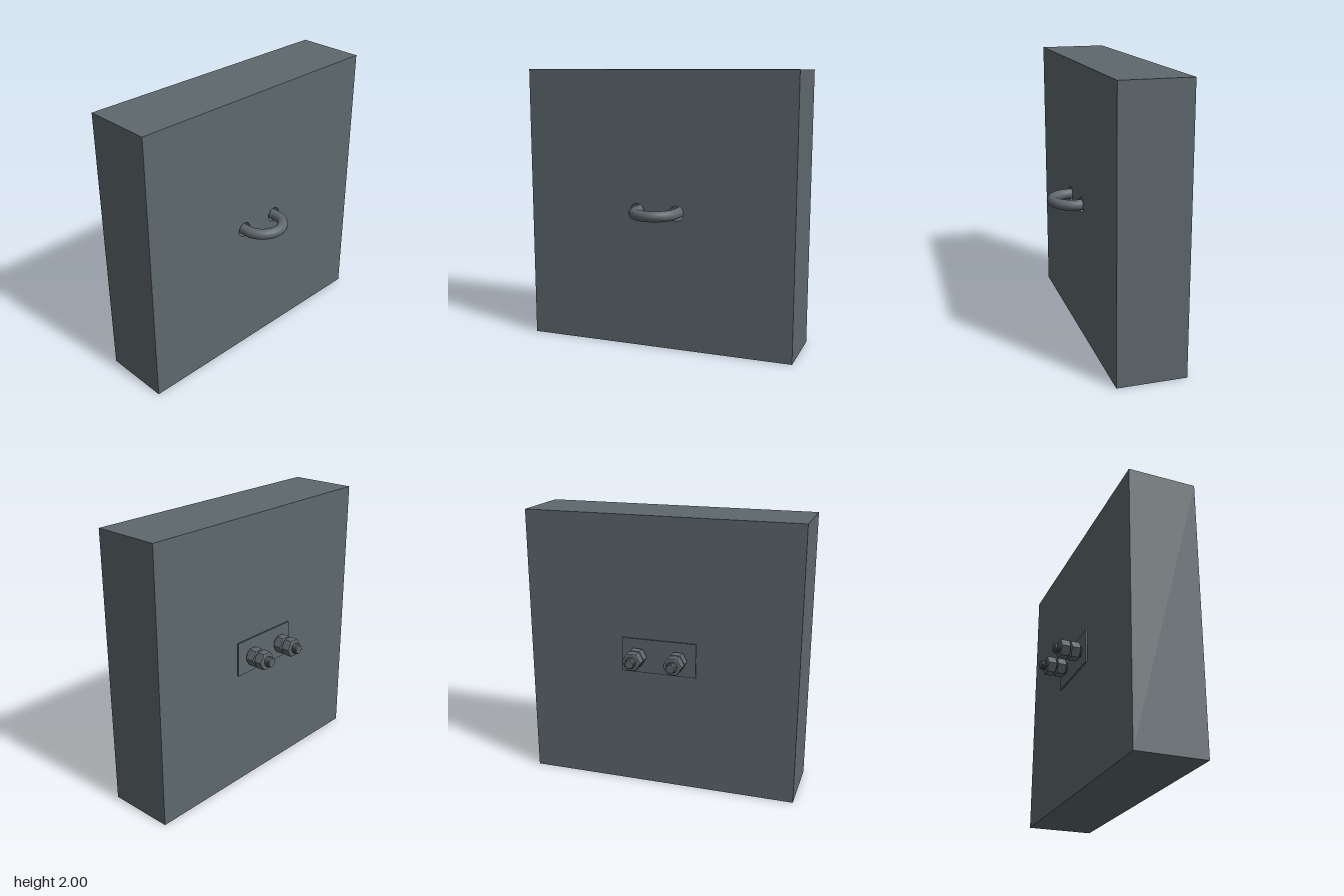
import * as THREE from 'three';
import { toCreasedNormals } from 'three/addons/utils/BufferGeometryUtils.js';

const STEEL = new THREE.MeshStandardMaterial({ color: 0x5e686c });
const CY = 1.0;        // height of the bolt axis
const LEG_X = 0.15;    // offset of each leg
const ROD_R = 0.038;
const BEND_Z = 0.277;  // where the legs meet the bend
const THREAD_Z = -0.2; // where the thread starts
const END_Z = -0.467;

function add(parent, name, geometry, x = 0, y = 0, z = 0) {
  const mesh = new THREE.Mesh(geometry, STEEL);
  mesh.name = name;
  mesh.position.set(x, y, z);
  parent.add(mesh);
  return mesh;
}

// Rectangular slab with a round hole for each leg
function drilledPanel(w, h, depth, holeR) {
  const shape = new THREE.Shape();
  shape.moveTo(-w / 2, -h / 2);
  shape.lineTo(w / 2, -h / 2);
  shape.lineTo(w / 2, h / 2);
  shape.lineTo(-w / 2, h / 2);
  shape.closePath();
  for (const s of [-1, 1]) {
    const hole = new THREE.Path();
    hole.absarc(s * LEG_X, 0, holeR, 0, Math.PI * 2, true);
    shape.holes.push(hole);
  }
  const g = new THREE.ExtrudeGeometry(shape, { depth, bevelEnabled: false, curveSegments: 24 });
  return toCreasedNormals(g, 0.6);
}

// Threaded rod pointing to -z: ridged profile with a chamfered tip
function threadGeometry(length) {
  const pitch = 0.0125, root = 0.032, tip = 0.012;
  const pts = [new THREE.Vector2(0, 0), new THREE.Vector2(root, 0)];
  const turns = Math.floor((length - tip) / pitch);
  for (let i = 0; i < turns; i++) {
    pts.push(new THREE.Vector2(ROD_R, (i + 0.4) * pitch));
    pts.push(new THREE.Vector2(ROD_R, (i + 0.6) * pitch));
    pts.push(new THREE.Vector2(root, (i + 1) * pitch));
  }
  pts.push(new THREE.Vector2(0.034, length - 0.007));
  pts.push(new THREE.Vector2(0.029, length), new THREE.Vector2(0, length));
  return toCreasedNormals(new THREE.LatheGeometry(pts, 24).rotateX(-Math.PI / 2), 0.5);
}

// Hex nut: a lathe whose outer rings are pushed out to a hexagon, leaving round chamfers
function nutGeometry(height) {
  const flat = 0.0595, chamfer = 0.057, bore = 0.034, h = height / 2;
  const profile = [[bore, -h], [chamfer, -h], [flat, -h], [flat, h], [chamfer, h], [bore, h]];
  const g = new THREE.LatheGeometry(profile.map(([r, y]) => new THREE.Vector2(r, y)), 36);
  const p = g.attributes.position;
  for (let i = 0; i < p.count; i++) {
    const x = p.getX(i), z = p.getZ(i);
    if (Math.hypot(x, z) < flat - 0.001) continue;
    const a = Math.atan2(x, z), step = Math.PI / 3;
    const r = flat / Math.cos(a - Math.round(a / step) * step);
    const y = Math.sign(p.getY(i)) * (h - (r - chamfer) * 0.58);
    p.setXYZ(i, r * Math.sin(a), y, r * Math.cos(a));
  }
  return toCreasedNormals(g.rotateX(-Math.PI / 2), 0.4);
}

export function createModel() {
  const model = new THREE.Group();
  model.name = 'wallAnchor';

  // Wall block and backing plate
  add(model, 'wallBlock', drilledPanel(2, 2, 0.495, 0.054), 0, CY, -0.243);
  add(model, 'backingPlate', drilledPanel(0.55, 0.25, 0.011, 0.042), 0, CY, -0.268);

  // U-bolt bend at the front
  const uBolt = new THREE.Group();
  uBolt.name = 'uBolt';
  uBolt.position.y = CY;
  model.add(uBolt);
  add(uBolt, 'bend', new THREE.TorusGeometry(LEG_X, ROD_R, 20, 16, Math.PI).rotateX(Math.PI / 2), 0, 0, BEND_Z);

  // Legs, threads and paired nuts
  const shank = new THREE.CylinderGeometry(ROD_R, ROD_R, BEND_Z - THREAD_Z, 20).rotateX(Math.PI / 2);
  const thread = threadGeometry(THREAD_Z - END_Z);
  const nut = nutGeometry(0.067);
  for (const [side, s] of [['left', 1], ['right', -1]]) {
    const x = s * LEG_X;
    add(uBolt, side + 'Shank', shank, x, 0, (BEND_Z + THREAD_Z) / 2);
    add(uBolt, side + 'Thread', thread, x, 0, THREAD_Z);
    add(uBolt, side + 'InnerNut', nut, x, 0, -0.316);
    add(uBolt, side + 'OuterNut', nut, x, 0, -0.391);
  }
  return model;
}
